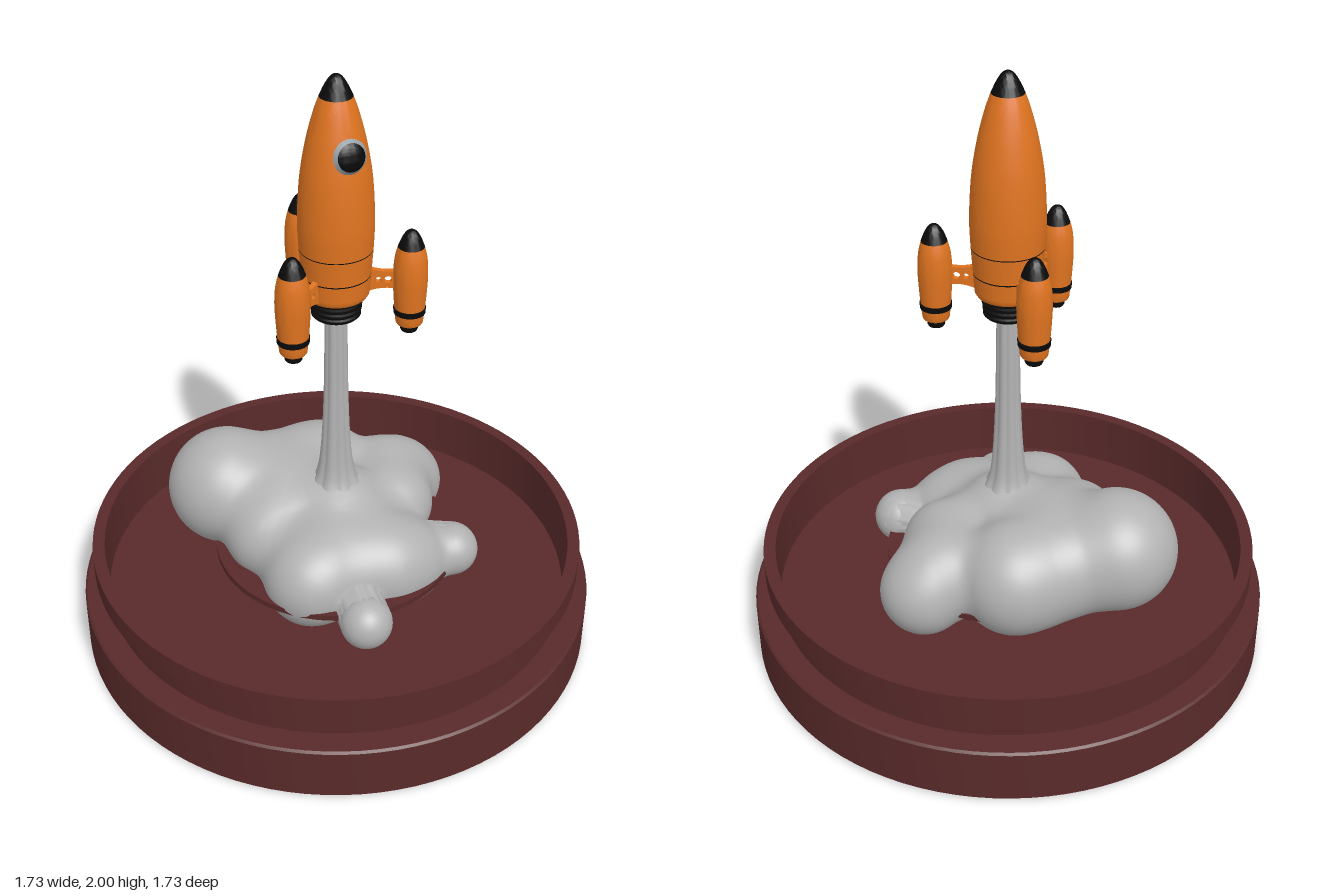
import * as THREE from 'three';
import { mergeVertices, toCreasedNormals } from 'three/addons/utils/BufferGeometryUtils.js';

const paint = (name, color) => Object.assign(new THREE.MeshStandardMaterial({ color }), { name });

export function createModel() {
  const orange = paint('orange', 0xe07420);
  const black = paint('black', 0x0a0a0a);
  const smokeGrey = paint('smoke grey', 0xb2b2b2);
  const maroon = paint('maroon', 0x592a2a);
  const metal = paint('metal', 0x98a0a6);

  const model = new THREE.Group();
  model.name = 'rocketOnStand';
  const add = (parent, name, geometry, material, x = 0, y = 0, z = 0) => {
    const mesh = new THREE.Mesh(geometry, material);
    mesh.name = name;
    mesh.position.set(x, y, z);
    parent.add(mesh);
    return mesh;
  };
  // Profiles run from bottom to top as [radius, y]
  const lathe = (profile, segments = 48, crease = 0.5) => toCreasedNormals(
    new THREE.LatheGeometry(profile.map(([r, y]) => new THREE.Vector2(r, y)), segments), crease);
  // Smooth section of a curve through [radius, y] points
  const smooth = (points, n = 24) => new THREE.SplineCurve(points.map(([r, y]) => new THREE.Vector2(r, y)))
    .getPoints(n).map((p) => [Math.max(p.x, 0), p.y]);

  // Stand: stepped drum hollowed into a deep dish
  add(model, 'stand', lathe([
    [0, 0], [0.858, 0], [0.865, 0.007], [0.865, 0.183], [0.858, 0.19], [0.785, 0.19],
    [0.785, 0.295], [0.825, 0.295], [0.825, 0.37], [0.785, 0.37], [0.78, 0.19], [0, 0.19],
  ], 96), maroon);
  // Thin plate carrying the cloud
  add(model, 'cloudPlate', new THREE.CylinderGeometry(0.41, 0.41, 0.02, 64), maroon, 0, 0.315, 0);

  // Smoke cloud: puffs [x, y, z, radius, blend] melted into one soft surface
  const puffs = [
    [0, 0.4, 0, 0.188, 0.08], [-0.29, 0.44, -0.28, 0.2, 0.08], [0.05, 0.39, -0.27, 0.19, 0.08],
    [-0.1, 0.4, -0.25, 0.18, 0.08], [-0.13, 0.4, -0.12, 0.18, 0.08], [-0.23, 0.38, -0.03, 0.145, 0.08],
    [0.335, 0.335, -0.19, 0.145, 0.08], [0.26, 0.405, -0.16, 0.125, 0.08], [0.22, 0.385, -0.02, 0.14, 0.08],
    [-0.17, 0.345, 0.19, 0.16, 0.08], [-0.06, 0.36, 0.17, 0.15, 0.08], [0.08, 0.345, 0.21, 0.165, 0.08],
    [0.19, 0.33, 0.22, 0.11, 0.08], [0.322, 0.335, 0.232, 0.09, 0.04], [-0.08, 0.305, 0.42, 0.085, 0.04],
  ];
  const distance = (p) => puffs.reduce((d, [x, y, z, r, blend]) => {
    const e = Math.hypot(p.x - x, p.y - y, p.z - z) - r;
    const h = Math.max(blend - Math.abs(d - e), 0) / blend;
    return Math.min(d, e) - h * h * blend * 0.25;
  }, 10);
  const cloud = new THREE.IcosahedronGeometry(1, 44);
  cloud.deleteAttribute('uv');
  cloud.deleteAttribute('normal');
  const cloudGeometry = mergeVertices(cloud, 1e-5);
  const centre = new THREE.Vector3(-0.02, 0.36, -0.03);
  const spot = cloudGeometry.attributes.position;
  const dir = new THREE.Vector3();
  const p = new THREE.Vector3();
  for (let i = 0; i < spot.count; i++) {
    dir.fromBufferAttribute(spot, i).normalize();
    let t = 0.85;
    for (let step = 0; step < 120; step++) {
      const d = distance(p.copy(centre).addScaledVector(dir, t));
      if (d < 0.0003) break;
      t -= d;
    }
    p.copy(centre).addScaledVector(dir, t);
    spot.setXYZ(i, p.x, p.y, p.z);
  }
  cloudGeometry.computeVertexNormals();
  add(model, 'smokeCloud', cloudGeometry, smokeGrey);
  // The two smallest puffs stay fully round
  puffs.slice(-2).forEach(([x, y, z, r]) =>
    add(model, 'smokePuff', new THREE.SphereGeometry(r, 40, 28), smokeGrey, x, y, z));

  // Exhaust column: fluted and flared into the cloud
  const column = new THREE.LatheGeometry(smooth([
    [0.085, 0.56], [0.067, 0.6], [0.056, 0.66], [0.047, 0.78], [0.041, 0.95], [0.037, 1.22],
  ], 30).map(([r, y]) => new THREE.Vector2(r, y)), 64);
  const c = column.attributes.position;
  for (let i = 0; i < c.count; i++) {
    const flute = 0.9 + 0.1 * Math.abs(Math.cos(Math.atan2(c.getZ(i), c.getX(i)) * 4));
    c.setXYZ(i, c.getX(i) * flute, c.getY(i), c.getZ(i) * flute);
  }
  column.computeVertexNormals();
  add(model, 'exhaustColumn', column, smokeGrey);

  // Main hull, nose and seam lines
  const rocket = new THREE.Group();
  rocket.name = 'rocket';
  model.add(rocket);
  add(rocket, 'hull', lathe([[0, 1.285], [0.098, 1.285], ...smooth([
    [0.104, 1.295], [0.109, 1.37], [0.115, 1.46], [0.117, 1.55], [0.109, 1.68],
    [0.091, 1.79], [0.068, 1.88], [0.05, 1.932],
  ], 36)]), orange);
  add(rocket, 'nose', lathe(smooth([
    [0.05, 1.932], [0.034, 1.966], [0.017, 1.991], [0, 2],
  ], 14)), black);
  [[0.114, 1.445], [0.1085, 1.36]].forEach(([r, y]) =>
    add(rocket, 'hullSeam', new THREE.CylinderGeometry(r + 0.0008, r, 0.004, 48, 1, true), black, 0, y, 0));

  // Ribbed engine nozzle
  const ribs = [[0, 1.21], [0.072, 1.21]];
  for (let i = 0; i < 4; i++) {
    const y = 1.212 + i * 0.019;
    ribs.push([0.074 + i * 0.002, y], [0.078 + i * 0.002, y + 0.004], [0.078 + i * 0.002, y + 0.011], [0.072, y + 0.015]);
  }
  ribs.push([0.08, 1.29]);
  add(rocket, 'nozzle', lathe(ribs), black);

  // Porthole on the front, leaning with the hull: sloped rim and domed glass
  const porthole = new THREE.Group();
  porthole.name = 'porthole';
  porthole.position.set(0, 1.782, 0.098);
  porthole.rotation.x = Math.PI / 2 - 0.17;
  rocket.add(porthole);
  add(porthole, 'portholeRim', lathe([[0.053, 0], [0.043, 0.012]], 40), metal);
  add(porthole, 'portholeGlass', lathe(smooth([[0.043, 0.012], [0.034, 0.018], [0.018, 0.023], [0, 0.025]], 10), 40), black);

  // Booster parts, modelled around their own axis
  const boosterParts = [
    ['boosterNozzle', lathe([[0, 0], [0.025, 0], [0.028, 0.006], [0.028, 0.03]], 28), black],
    ['boosterBody', lathe([[0, 0.026], [0.04, 0.026], ...smooth([
      [0.043, 0.031], [0.047, 0.07], [0.052, 0.14], [0.054, 0.2], [0.05, 0.255], [0.041, 0.293],
    ], 20)], 32), orange],
    ['boosterNose', lathe(smooth([[0.041, 0.293], [0.029, 0.323], [0.015, 0.344], [0, 0.351]], 12), 32), black],
    ['boosterBand', lathe([[0.045, 0.063], [0.05, 0.064], [0.051, 0.082], [0.047, 0.083]], 32), black],
  ];

  // Strut: a waisted plate with round holes
  const plate = new THREE.Shape();
  plate.moveTo(0.09, -0.045);
  plate.quadraticCurveTo(0.14, -0.016, 0.22, -0.038);
  plate.lineTo(0.22, 0.038);
  plate.quadraticCurveTo(0.14, 0.016, 0.09, 0.045);
  plate.closePath();
  [[0.13, 0.009], [0.16, 0.012]].forEach(([x, r]) => {
    const hole = new THREE.Path();
    hole.absarc(x, 0, r, 0, Math.PI * 2, true);
    plate.holes.push(hole);
  });
  const strut = new THREE.ExtrudeGeometry(plate, { depth: 0.018, bevelEnabled: false, curveSegments: 14 });
  strut.translate(0, 0, -0.009);

  // Three boosters around the hull: [x, bottom, z]
  [[-0.192, 1.156, 0.115], [0.209, 1.153, 0.092], [-0.013, 1.167, -0.243]].forEach(([x, y, z]) => {
    const booster = new THREE.Group();
    booster.name = 'booster';
    booster.position.set(x, y, z);
    rocket.add(booster);
    boosterParts.forEach(([name, geometry, material]) => add(booster, name, geometry, material));
    const arm = add(rocket, 'strut', strut, orange, 0, 1.335, 0);
    arm.rotation.y = Math.atan2(-z, x);
  });

  return model;
}
